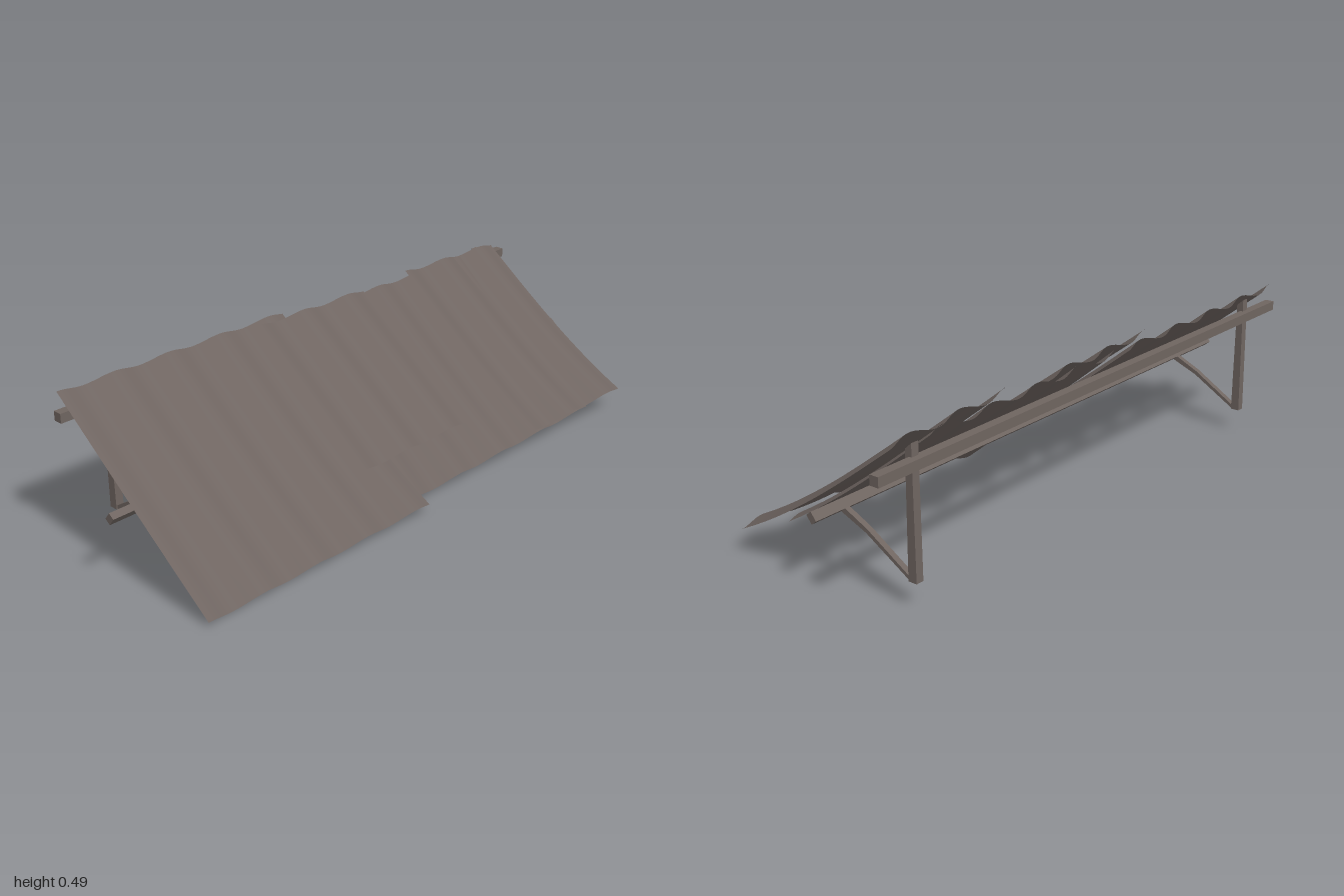
import * as THREE from 'three';

const steel = new THREE.MeshStandardMaterial({ color: 0x6f6561, side: THREE.DoubleSide });
steel.name = 'weathered metal';
const wood = new THREE.MeshStandardMaterial({ color: 0x6f6560 });
wood.name = 'weathered wood';

const lerp = THREE.MathUtils.lerp;
const PERIOD = 0.197, WAVE = 0.0105;

// Corrugated sheet between two sloping edges; each edge is { z, top, bottom, sag }.
function sheet(name, a, b) {
  const nu = 72, nv = 12;
  const geo = new THREE.PlaneGeometry(1, 1, nu, nv);
  const pos = geo.attributes.position;
  for (let i = 0; i < pos.count; i++) {
    const u = pos.getX(i) + 0.5, t = 0.5 - pos.getY(i);
    const x = lerp(lerp(a.top[0], b.top[0], u), lerp(a.bottom[0], b.bottom[0], u), t);
    const y = lerp(lerp(a.top[1], b.top[1], u), lerp(a.bottom[1], b.bottom[1], u), t);
    const z = lerp(a.z, b.z, u);
    const sag = lerp(a.sag, b.sag, u) * 4 * t * (1 - t) * (0.6 + 0.6 * t);
    const w = WAVE * Math.cos((2 * Math.PI * (z - a.z)) / PERIOD) - sag;
    pos.setXYZ(i, x + w * 0.62, y + w * 0.78, z);
  }
  geo.computeVertexNormals();
  const mesh = new THREE.Mesh(geo, steel);
  mesh.name = name;
  return mesh;
}

// Profile in the xy plane, extruded along z around a centre
function slab(name, points, z, depth) {
  const shape = new THREE.Shape(points.map(([x, y]) => new THREE.Vector2(x, y)));
  const geo = new THREE.ExtrudeGeometry(shape, { depth, bevelEnabled: false });
  geo.translate(0, 0, z - depth / 2);
  const mesh = new THREE.Mesh(geo, wood);
  mesh.name = name;
  return mesh;
}

function beam(name, w, h, z0, z1, x, y, tilt = 0) {
  const mesh = new THREE.Mesh(new THREE.BoxGeometry(w, h, z1 - z0), wood);
  mesh.position.set(x, y, (z0 + z1) / 2);
  mesh.rotation.z = tilt;
  mesh.name = name;
  return mesh;
}

export function createModel() {
  const model = new THREE.Group();
  model.name = 'leanToRoof';

  // Overlapping roof sheets
  model.add(
    sheet('frontSheet',
      { z: 0.945, top: [-0.316, 0.49], bottom: [0.291, 0.013], sag: 0.002 },
      { z: 0.085, top: [-0.314, 0.486], bottom: [0.316, 0.038], sag: 0.02 }),
    sheet('middleSheet',
      { z: 0.08, top: [-0.284, 0.472], bottom: [0.248, 0.026], sag: 0 },
      { z: -0.77, top: [-0.284, 0.468], bottom: [0.28, 0.06], sag: 0.015 }),
    sheet('backSheet',
      { z: -0.44, top: [-0.276, 0.492], bottom: [0.288, 0.075], sag: 0.012 },
      { z: -0.92, top: [-0.28, 0.478], bottom: [0.308, 0.09], sag: 0.02 }),
    sheet('patchSheet',
      { z: 0.235, top: [-0.275, 0.49], bottom: [0.172, 0.148], sag: 0 },
      { z: -0.25, top: [-0.278, 0.482], bottom: [0.172, 0.148], sag: 0 }));

  // Long beams under the sheets
  model.add(
    beam('ridgeBeam', 0.03, 0.03, -1, 0.95, -0.309, 0.421),
    beam('middleBeam', 0.022, 0.03, -0.96, 1, -0.031, 0.227, -0.66));

  // Two supports, each a post and a bent brace
  for (const z of [0.79, -0.845]) {
    const support = new THREE.Group();
    support.name = z > 0 ? 'frontSupport' : 'backSupport';
    support.add(
      slab('post', [[-0.307, 0.08], [-0.278, 0.08], [-0.281, 0.455], [-0.303, 0.475]], z, 0.026),
      slab('brace', [[-0.283, 0.079], [-0.276, 0.082], [-0.125, 0.172], [-0.035, 0.209],
        [-0.026, 0.222], [-0.045, 0.224], [-0.13, 0.184], [-0.283, 0.09]], z, 0.018));
    model.add(support);
  }
  return model;
}
